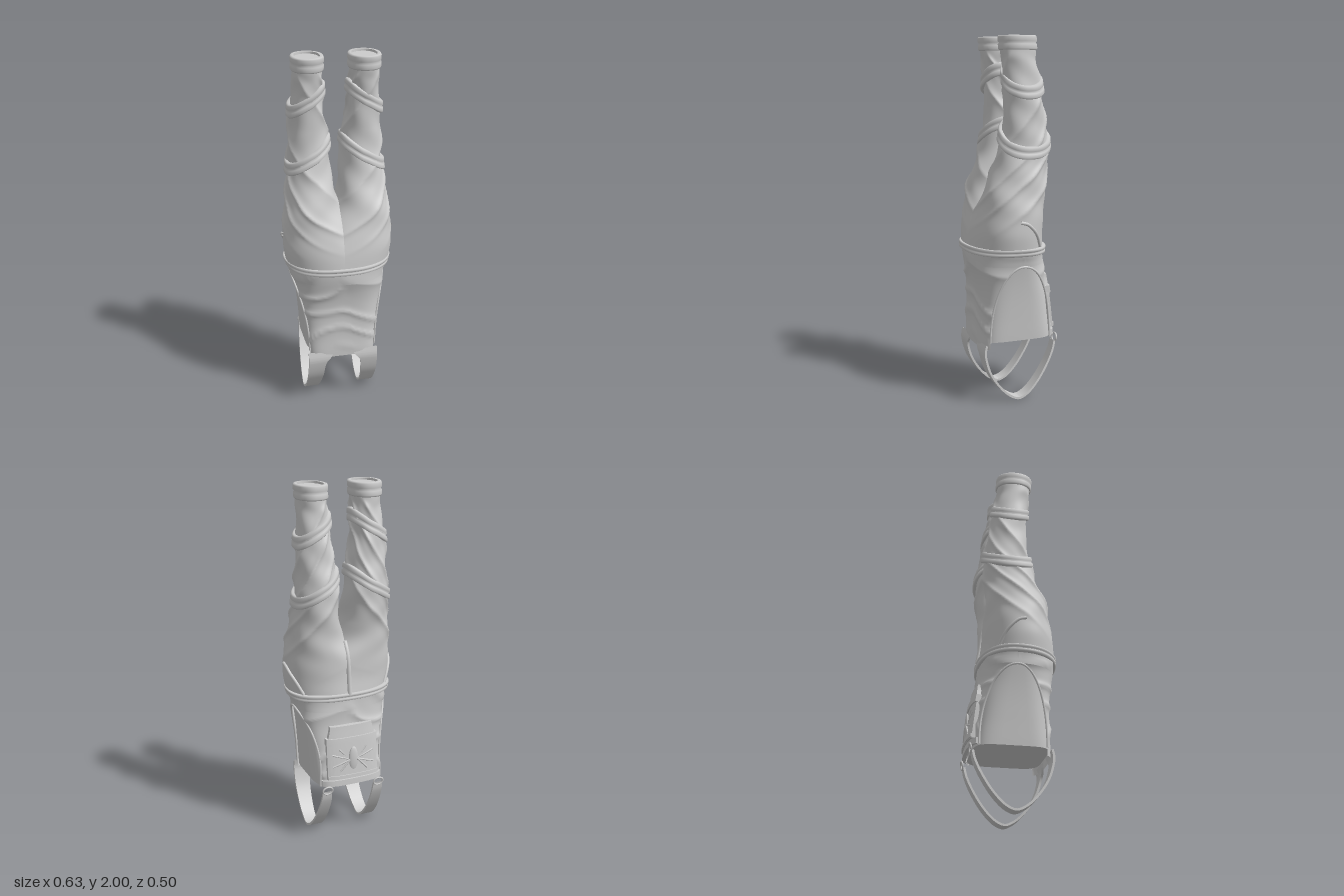
import * as THREE from 'three';
import { toCreasedNormals } from 'three/addons/utils/BufferGeometryUtils.js';

const material = new THREE.MeshStandardMaterial({ color: 0xcccccc, side: THREE.DoubleSide });
const V = (x, y, z) => new THREE.Vector3(x, y, z);
const TAU = Math.PI * 2;
const spow = (v, e) => Math.sign(v) * Math.abs(v) ** e;
const smooth = THREE.MathUtils.smoothstep;

// Leg sections: y, inner x, outer x, back z, front z
const LEG = [
  [0.85, -0.29, 0.29, -0.18, 0.24], [0.95, -0.22, 0.304, -0.165, 0.228], [1.05, -0.12, 0.302, -0.163, 0.205],
  [1.15, -0.03, 0.292, -0.163, 0.183], [1.25, 0.008, 0.278, -0.168, 0.148], [1.35, 0.02, 0.266, -0.176, 0.11],
  [1.45, 0.03, 0.258, -0.178, 0.088], [1.6, 0.046, 0.252, -0.152, 0.07], [1.7, 0.066, 0.248, -0.138, 0.072],
  [1.8, 0.068, 0.24, -0.122, 0.072], [1.9, 0.075, 0.232, -0.105, 0.088], [2.0, 0.075, 0.232, -0.097, 0.094]];
// Torso sections: y, half width, front z, back z, squareness
const TORSO = [
  [0.3, 0.2, 0.2, 0.22, 5], [0.34, 0.206, 0.2, 0.222, 5], [0.48, 0.22, 0.2, 0.208, 4.2], [0.6, 0.234, 0.202, 0.194, 3.6],
  [0.7, 0.25, 0.215, 0.18, 3], [0.8, 0.272, 0.235, 0.176, 2.5], [0.87, 0.292, 0.24, 0.178, 2.3]];

// Smooth interpolation of a section table
function sample(table, y) {
  let i = 0;
  while (i < table.length - 2 && y > table[i + 1][0]) i++;
  const a = table[i], b = table[i + 1], p = table[i - 1] || a, q = table[i + 2] || b;
  const h = b[0] - a[0], t = THREE.MathUtils.clamp((y - a[0]) / h, 0, 1);
  return a.slice(1).map((_, k) => {
    const j = k + 1;
    const m0 = (b[j] - p[j]) / (b[0] - p[0]) * h, m1 = (q[j] - a[j]) / (q[0] - a[0]) * h;
    return (2 * t ** 3 - 3 * t * t + 1) * a[j] + (t ** 3 - 2 * t * t + t) * m0
      + (3 * t * t - 2 * t ** 3) * b[j] + (t ** 3 - t * t) * m1;
  });
}

function legPoint(y, a, off = 0) {
  const [xi, xo, zb, zf] = sample(LEG, y), e = 2 / 2.2;
  return V((xi + xo) / 2 + ((xo - xi) / 2 + off) * spow(Math.cos(a), e), y,
    (zb + zf) / 2 + ((zf - zb) / 2 + off) * spow(Math.sin(a), e));
}

// Angle 0 faces +z, angle PI faces -z
function torsoPoint(y, a, off = 0) {
  const [w, zf, zb, n] = sample(TORSO, y), c = Math.cos(a);
  return V((w + off) * spow(Math.sin(a), 2 / n), y, ((c > 0 ? zf : zb) + off) * spow(c, 2 / n));
}

// Diagonal cloth folds
const legFold = (y, a) => {
  const f = 1 - Math.abs(Math.sin(13 * y + 1.5 * Math.sin(a + 5 * y) + 2 * a));
  return (0.013 * f * f - 0.004 + 0.003 * Math.sin(31 * y - 3 * a)) * smooth(y, 0.9, 1.2) * (1 - smooth(y, 1.86, 1.93));
};
const torsoFold = (x, y) => {
  const f = 1 - Math.abs(Math.sin(20 * y + 9 * Math.abs(x) + Math.sin(12 * y + 7 * x)));
  return 0.01 * f * f - 0.003;
};

// Surface through rows of points
function loft(rows, closed) {
  const n = rows[0].length, pos = rows.flat().flatMap(p => [p.x, p.y, p.z]), idx = [];
  for (let r = 0; r < rows.length - 1; r++)
    for (let c = 0; c < (closed ? n : n - 1); c++) {
      const a = r * n + c, b = r * n + (c + 1) % n;
      idx.push(a, a + n, b, b, a + n, b + n);
    }
  const g = new THREE.BufferGeometry();
  g.setAttribute('position', new THREE.Float32BufferAttribute(pos, 3));
  g.setIndex(idx);
  g.computeVertexNormals();
  return g;
}
const ring = (f, n = 72) => Array.from({ length: n }, (_, i) => f(i / n * TAU));
const tube = (pts, r, closed = false, seg = 48) =>
  new THREE.TubeGeometry(new THREE.CatmullRomCurve3(pts, closed), seg, r, 8, closed);

// Raised double-ridged band around a section, optionally tilted
function band(point, y, tilt, half, off) {
  const profile = [[-1, -0.6], [-1, 0.5], [-0.8, 1], [-0.2, 1], [0, 0.3], [0.2, 1], [0.8, 1], [1, 0.5], [1, -0.6]];
  return loft(profile.map(([v, o]) => ring(a => point(Math.min(y + v * half - tilt * Math.cos(a), 2), a, o * off))), true);
}

// Side opening: distance of the panel edge from the middle, by height
const edgeZ = (y, w) => w * Math.sqrt(Math.max(0, 1 - Math.max(0, (y - 0.34) / 0.43) ** 2.2));
function edgeAngle(y, back) {
  const [, zf, zb, n] = sample(TORSO, y);
  return Math.acos((edgeZ(y, back ? 0.19 : 0.165) / (back ? zb : zf)) ** (n / 2));
}
function panelHeights(y0) {
  const ys = [];
  for (let i = 0; i <= 40; i++) ys.push(y0 + (0.77 - y0) * Math.sin(i / 40 * Math.PI / 2));
  return [...ys, 0.79, 0.81, 0.83, 0.86];
}

export function createModel() {
  const model = new THREE.Group();
  const add = (name, geometry) => {
    const m = new THREE.Mesh(geometry, material);
    m.name = name;
    model.add(m);
    return m;
  };
  // Adds a part and its mirror image
  const pair = (name, geometry) => {
    add('left' + name, geometry);
    const g = geometry.clone().scale(-1, 1, 1);
    if (g.index) g.index.array.reverse();
    else {
      for (const at of Object.values(g.attributes)) {
        const s = at.itemSize, src = at.array.slice();
        for (let i = 0; i < at.count; i++)
          for (let k = 0; k < s; k++) at.array[i * s + k] = src[(at.count - 1 - i) * s + k];
      }
    }
    add('right' + name, g);
  };

  // Trouser legs running into the hips, closed just inside the cuff
  const legRows = [];
  for (let i = 0; i <= 130; i++) {
    const y = 0.85 + 1.15 * i / 130;
    legRows.push(ring(a => legPoint(y, a, legFold(y, a))));
  }
  pair('Leg', loft(legRows, true));
  const inset = (y, off) => ring(a => legPoint(2, a, off).setY(y));
  pair('LegEnd', toCreasedNormals(loft([inset(2, 0), inset(2, -0.012), inset(1.988, -0.013), inset(1.988, -0.07)], true), 0.6));
  pair('LegEndCap', loft([inset(1.988, -0.06), ring(() => V(0.1535, 1.988, 0))], true));

  // Cuffs and rolled bands
  pair('Cuff', band(legPoint, 1.962, 0, 0.038, 0.009));
  pair('CalfBand', band(legPoint, 1.765, 0.062, 0.036, 0.014));
  pair('KneeBand', band(legPoint, 1.46, 0.075, 0.034, 0.014));

  // Waistband
  add('waistband', band(torsoPoint, 0.85, 0, 0.02, 0.012));

  // Inner torso with a closed flat end
  const inner = s => y => ring(a => { const p = torsoPoint(y, a); return V(p.x * s, y, p.z * s); });
  const innerYs = Array.from({ length: 25 }, (_, i) => 0.34 + 0.5 * i / 24);
  add('innerTorso', loft(innerYs.map(inner(0.955)), true));
  add('innerTorsoEnd', loft([inner(0.955)(0.34), inner(0.5)(0.34), ring(() => V(0, 0.34, 0))], true));

  // Back panel and bib, cut away by the side openings
  for (const [name, y0, back] of [['backPanel', 0.3, false], ['bib', 0.34, true]]) {
    const rows = panelHeights(y0).map(y => {
      const e = edgeAngle(y, back);
      return Array.from({ length: 65 }, (_, i) => {
        const a = (i / 32 - 1) * e + (back ? Math.PI : 0), p = torsoPoint(y, a);
        return torsoPoint(y, a, torsoFold(p.x, y) * smooth(y, 0.3, 0.42));
      });
    });
    add(name, loft(rows, false));
  }

  // Piping around the side openings
  const edge = [];
  for (let i = 0; i <= 48; i++) {
    const t = i / 24 - 1, y = 0.34 + 0.43 * Math.cos(t * Math.PI / 2), back = t > 0;
    edge.push(torsoPoint(y, back ? Math.PI - edgeAngle(y, true) : edgeAngle(y, false), 0.001));
  }
  pair('OpeningPiping', tube(edge, 0.006, false, 96));

  // Shoulder straps: wide at the panel, looping under to the bib
  const path = [[0.19, 0.33, 0.05, 0.2], [0.197, 0.295, 0.072, 0.2], [0.196, 0.265, 0.097, 0.2], [0.168, 0.17, 0.11, 0.2],
    [0.1, 0.07, 0.12, 0.2], [0.045, 0.023, 0.125, 0.2], [0, 0.006, 0.125, 0.2], [-0.05, 0.026, 0.125, 0.198],
    [-0.11, 0.085, 0.125, 0.195], [-0.17, 0.175, 0.125, 0.19], [-0.21, 0.26, 0.125, 0.185], [-0.222, 0.31, 0.128, 0.182]];
  const inEdge = new THREE.CatmullRomCurve3(path.map(([z, y, x]) => V(x, y, z)));
  const outEdge = new THREE.CatmullRomCurve3(path.map(([z, y, , x]) => V(x, y, z)));
  const strapRows = [];
  for (let i = 0; i <= 72; i++) {
    const t = i / 72, a = inEdge.getPoint(t), b = outEdge.getPoint(t), d = outEdge.getTangent(t);
    const n = V(0, -d.z, d.y).normalize().multiplyScalar(0.006);
    strapRows.push([a.clone().add(n), b.clone().add(n), b.clone().sub(n), a.clone().sub(n)]);
  }
  pair('Strap', toCreasedNormals(loft(strapRows, true), 0.7));

  // Strap buckles
  const buckle = new THREE.TorusGeometry(0.026, 0.005, 8, 24).scale(1.1, 0.9, 1).rotateX(-0.15).translate(0.155, 0.325, -0.232);
  pair('Buckle', buckle);

  // Bib trim: blocks bent onto the bib surface
  const bibZ = (x, y) => {
    const [w, , zb, n] = sample(TORSO, y);
    return -zb * (1 - Math.min(1, Math.abs(x / w)) ** n) ** (1 / n);
  };
  const bent = (x0, x1, y0, y1, depth, taper = 0) => {
    const g = new THREE.BoxGeometry(1, 1, 1, 30, 20, 1), p = g.attributes.position;
    for (let i = 0; i < p.count; i++) {
      const v = p.getY(i) + 0.5, x = (x0 + (x1 - x0) * (p.getX(i) + 0.5)) * (1 - taper * smooth(v, 0.6, 1));
      const y = y0 + (y1 - y0) * v, lift = 0.012 * Math.cos(x / 0.2 * 1.4);
      p.setXYZ(i, x, y, bibZ(x, y) - (p.getZ(i) < 0 ? depth + lift : -0.004));
    }
    g.computeVertexNormals();
    return toCreasedNormals(g, 0.7);
  };
  add('bibHem', bent(-0.178, 0.178, 0.345, 0.378, 0.009));
  add('bibPocket', bent(-0.15, 0.15, 0.385, 0.69, 0.012, 0.16));
  add('pocketFlap', bent(-0.152, 0.152, 0.585, 0.625, 0.02));
  add('pocketTrim', bent(-0.15, 0.15, 0.388, 0.408, 0.018));
  add('pocketLeaf', new THREE.SphereGeometry(1, 20, 14).scale(0.028, 0.075, 0.012).translate(0, 0.495, -0.23));
  for (const [dx, y] of [[0.06, 0.56], [0.06, 0.43], [0.1, 0.53], [0.1, 0.46]]) {
    const rib = [0.022, 0.022 + dx / 2, 0.022 + dx].map((x, i) =>
      V(x, 0.495 + (y - 0.495) * i / 2, bibZ(x, y) - 0.012 - 0.012 * Math.cos(x * 7)));
    pair('PocketRib', tube(rib, 0.005, false, 12));
  }

  // Curved hip pocket openings
  const hip = [[0.04, 1.02], [-0.12, 1.01], [-0.32, 0.98], [-0.5, 0.94], [-0.65, 0.87]]
    .map(([a, y]) => legPoint(y, a, 0.004));
  pair('HipPocket', tube(hip, 0.009, false, 32));

  // Fly seam down the middle of the bib side
  const seamZ = y => {
    const [xi, xo, zb, zf] = sample(LEG, y), u = Math.min(1, Math.abs((xi + xo) / (xo - xi)));
    return (zb + zf) / 2 - (zf - zb) / 2 * (1 - u ** 2.2) ** (1 / 2.2);
  };
  const fly = Array.from({ length: 9 }, (_, i) => 0.86 + 0.036 * i).map(y => V(0, y, seamZ(y) - 0.002));
  add('flySeam', tube(fly, 0.013));

  return model;
}
